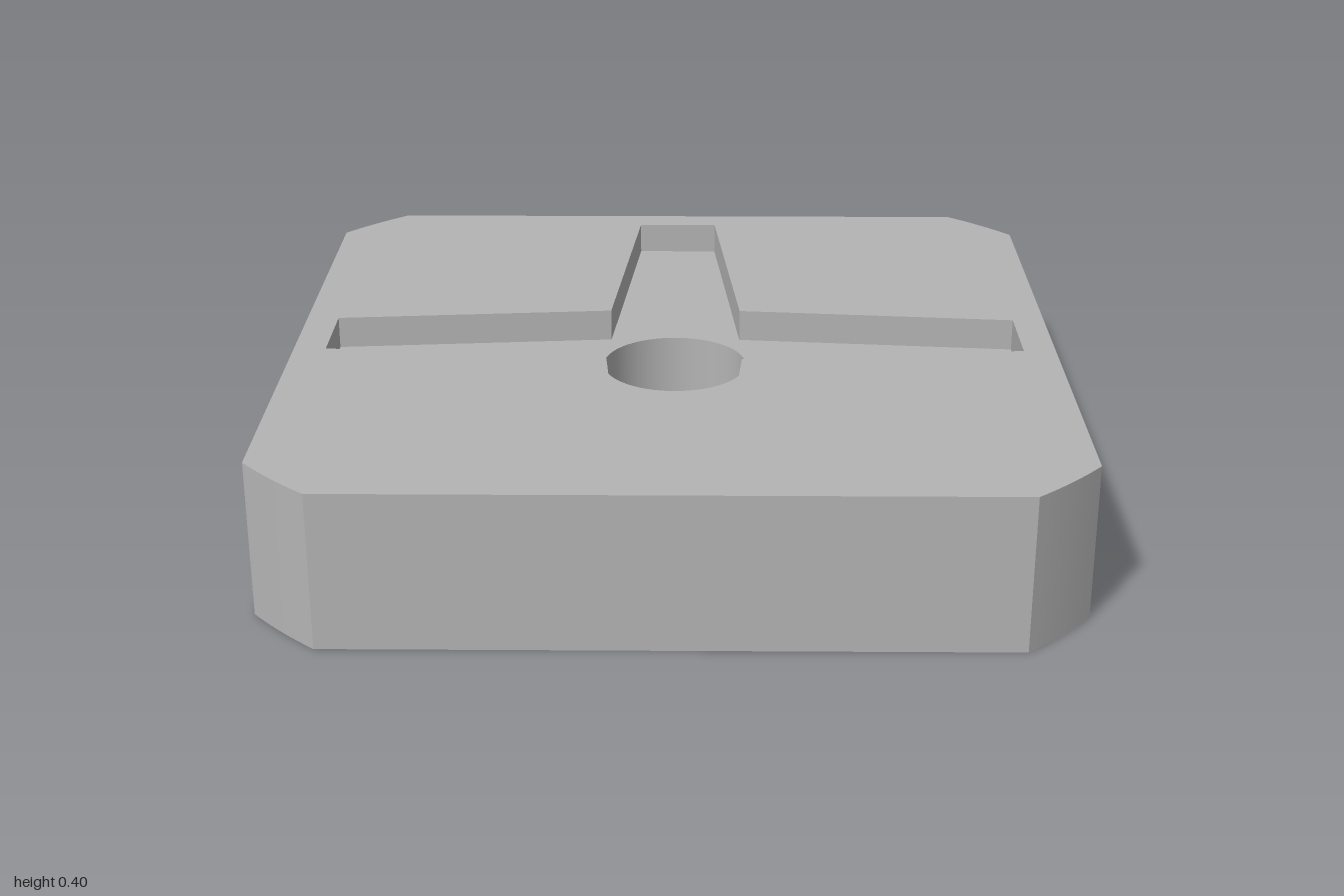
import * as THREE from 'three';
import { mergeGeometries } from 'three/addons/utils/BufferGeometryUtils.js';

const HEIGHT = 0.4, FLOOR = 0.315, LEDGE = 0.125;
const BORE = 0.19, HOLE = 0.155, SEGMENTS = 64;
const FLAT = 0.832; // half length of each straight side

const v = (x, y) => new THREE.Vector2(x, y);

// Upright wall along a run of plan points, facing right of travel; normals are smooth within the run
function wall(run, y0, y1) {
  const position = [], uv = [], index = [];
  run.forEach((p, i) => {
    position.push(p.x, y0, -p.y, p.x, y1, -p.y);
    uv.push(i, 0, i, 1);
    if (i) {
      const a = 2 * (i - 1);
      index.push(a, a + 2, a + 3, a, a + 3, a + 1);
    }
  });
  const g = new THREE.BufferGeometry();
  g.setAttribute('position', new THREE.Float32BufferAttribute(position, 3));
  g.setAttribute('uv', new THREE.Float32BufferAttribute(uv, 2));
  g.setIndex(index);
  g.computeVertexNormals();
  return g;
}

// Flat horizontal face with a hole, facing up or down
function face(outline, hole, y, up = true) {
  const shape = new THREE.Shape(outline);
  shape.holes.push(new THREE.Path(hole));
  return new THREE.ShapeGeometry(shape, SEGMENTS)
    .rotateX(up ? -Math.PI / 2 : Math.PI / 2)
    .translate(0, y, 0);
}

const circle = (r) => Array.from({ length: SEGMENTS }, (_, i) => {
  const a = (i / SEGMENTS) * Math.PI * 2;
  return v(r * Math.sin(a), r * Math.cos(a));
});

export function createModel() {
  const model = new THREE.Group();
  model.name = 'squareBlock';
  const grey = new THREE.MeshStandardMaterial({ color: 0xb4b4b4 });
  grey.name = 'grey';
  const add = (name, geometries) => {
    const mesh = new THREE.Mesh(mergeGeometries(geometries), grey);
    mesh.name = name;
    model.add(mesh);
  };

  // Square outline whose corners are turned to one large circle
  const radius = Math.hypot(1, FLAT), start = Math.atan2(FLAT, 1);
  const outline = [], cross = [], corners = [], sides = [];
  const origin = v(0, 0);
  for (let q = 0; q < 4; q++) {
    const turn = (q * Math.PI) / 2;
    const arc = [];
    for (let i = 0; i <= 8; i++) {
      const a = turn + start + (i / 8) * (Math.PI / 2 - 2 * start);
      arc.push(v(radius * Math.cos(a), radius * Math.sin(a)));
    }
    const side = [v(1, -FLAT), v(1, FLAT)].map((p) => p.rotateAround(origin, turn));
    corners.push(wall(arc, 0, HEIGHT));
    sides.push(wall(side, 0, HEIGHT));
    outline.push(...arc);
    // One tapered arm of the cross-shaped pocket
    cross.push(...[v(0.176, -0.176), v(0.916, -0.112), v(0.916, 0.112)]
      .map((p) => p.rotateAround(origin, turn)));
  }
  add('roundedCorners', corners);
  add('outerSides', sides);
  add('topFace', [face(outline, cross, HEIGHT)]);
  add('bottomFace', [face(outline, circle(HOLE), 0, false)]);

  // Cross pocket sunk into the top
  add('pocketFloor', [face(cross, circle(BORE), FLOOR)]);
  add('pocketWalls', cross.map((p, i) =>
    wall([cross[(i + 1) % cross.length], p], FLOOR, HEIGHT)));

  // Stepped bore through the centre
  const profile = [v(BORE, FLOOR), v(BORE, LEDGE), v(HOLE, LEDGE), v(HOLE, 0)];
  ['upperBore', 'boreLedge', 'lowerBore'].forEach((name, i) =>
    add(name, [new THREE.LatheGeometry(profile.slice(i, i + 2), SEGMENTS)]));

  return model;
}
